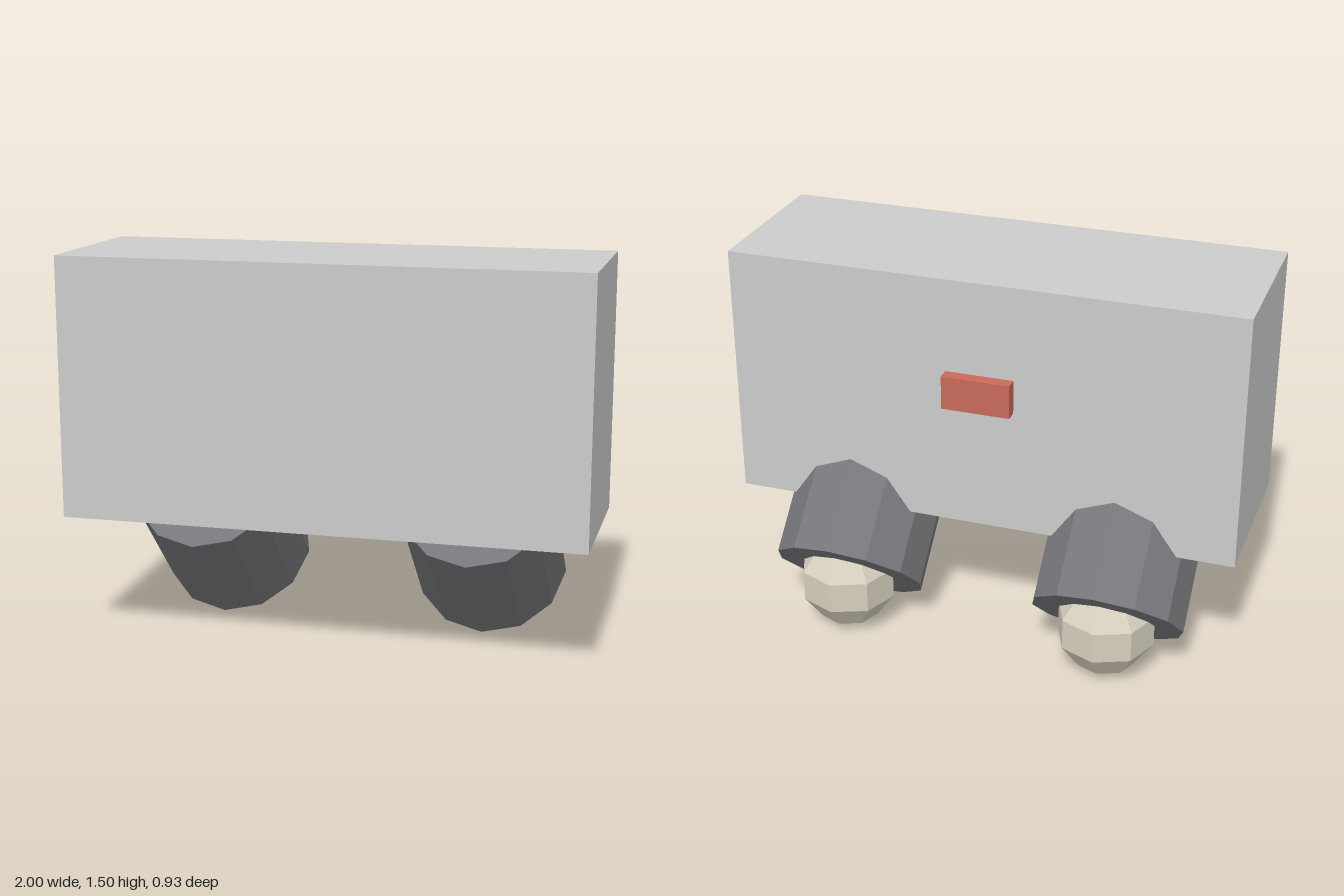
import * as THREE from 'three';

export function createModel() {
  const model = new THREE.Group();
  const mat = (color) => new THREE.MeshStandardMaterial({ color, flatShading: true });
  const grey = mat(0xcccccc), dark = mat(0x77767a), red = mat(0xc86a5a), cream = mat(0xd6d0bd);

  function add(name, geometry, material, x, y, z) {
    const mesh = new THREE.Mesh(geometry, material);
    mesh.name = name;
    mesh.position.set(x, y, z);
    model.add(mesh);
    return mesh;
  }

  // Main block and the small plate on its back
  add('body', new THREE.BoxGeometry(2, 1, 0.667), grey, 0, 1.001, 0.133);
  add('backPlate', new THREE.BoxGeometry(0.267, 0.133, 0.05), red, 0, 1.067, -0.225);

  // Tilted twelve-sided housings, each with a faceted ball in its lower back end
  for (const side of [1, -1]) {
    const prefix = side > 0 ? 'left' : 'right';
    const x = side * 0.533;
    const housing = add(prefix + 'Housing', new THREE.CylinderGeometry(0.3, 0.3, 0.533, 12), dark, x, 0.401, -0.067);
    housing.rotation.x = Math.PI / 4;
    add(prefix + 'Ball', new THREE.SphereGeometry(0.2, 8, 5), cream, x, 0.201, -0.267);
  }
  return model;
}
